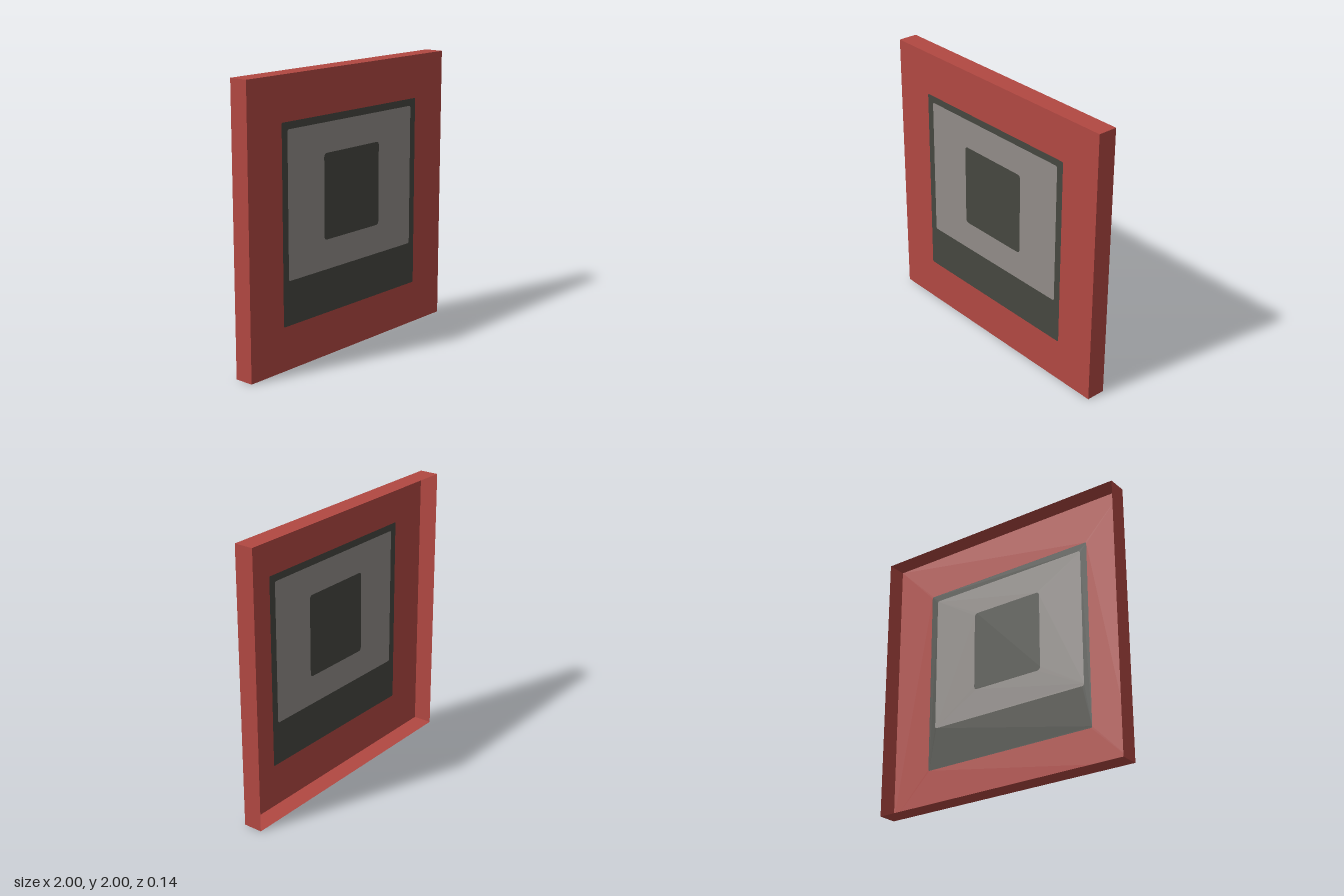
import * as THREE from 'three';

const SIZE = 2, DEPTH = 0.14, FRONT = DEPTH / 2;

function material(name, color) {
  const m = new THREE.MeshStandardMaterial({ color, side: THREE.DoubleSide });
  m.name = name;
  return m;
}

// Rectangle outline with rounded corners, centred on x = 0
function roundedRect(halfWidth, bottom, top, r) {
  const s = new THREE.Shape();
  const w = halfWidth;
  if (r === 0) {
    s.moveTo(-w, bottom).lineTo(w, bottom).lineTo(w, top).lineTo(-w, top).closePath();
    return s;
  }
  s.absarc(w - r, bottom + r, r, -Math.PI / 2, 0);
  s.absarc(w - r, top - r, r, 0, Math.PI / 2);
  s.absarc(-w + r, top - r, r, Math.PI / 2, Math.PI);
  s.absarc(-w + r, bottom + r, r, Math.PI, Math.PI * 1.5);
  s.closePath();
  return s;
}

export function createModel() {
  const red = material('red', 0xb24842);
  const charcoal = material('charcoal', 0x464740);
  const grey = material('warm grey', 0x918c88);

  const model = new THREE.Group();
  model.name = 'framedPanel';

  const add = (name, geometry, mat) => {
    const mesh = new THREE.Mesh(geometry, mat);
    mesh.name = name;
    model.add(mesh);
    return mesh;
  };

  // Nested inlays of one thin front sheet, each cut out for the next
  const layers = [
    ['frontSheet', red, 1, 0, SIZE, 0],
    ['darkPanel', charcoal, 0.69, 0.31, 1.69, 0.01],
    ['greyPanel', grey, 0.637, 0.62, 1.64, 0.015],
    ['centreSquare', charcoal, 0.285, 0.83, 1.43, 0.025],
  ];
  layers.forEach(([name, mat, ...dims], i) => {
    const shape = roundedRect(...dims);
    if (i + 1 < layers.length) shape.holes.push(roundedRect(...layers[i + 1].slice(2)));
    add(name, new THREE.ShapeGeometry(shape, 6), mat).position.z = FRONT;
  });

  // Thin walls running back from the sheet, leaving the back open
  ['rightWall', 'bottomWall', 'leftWall', 'topWall'].forEach((name, i) => {
    const wall = new THREE.PlaneGeometry(DEPTH, SIZE)
      .rotateY(-Math.PI / 2)
      .translate(-SIZE / 2, 0, 0)
      .rotateZ(i * Math.PI / 2)
      .translate(0, SIZE / 2, 0);
    add(name, wall, red);
  });

  return model;
}
